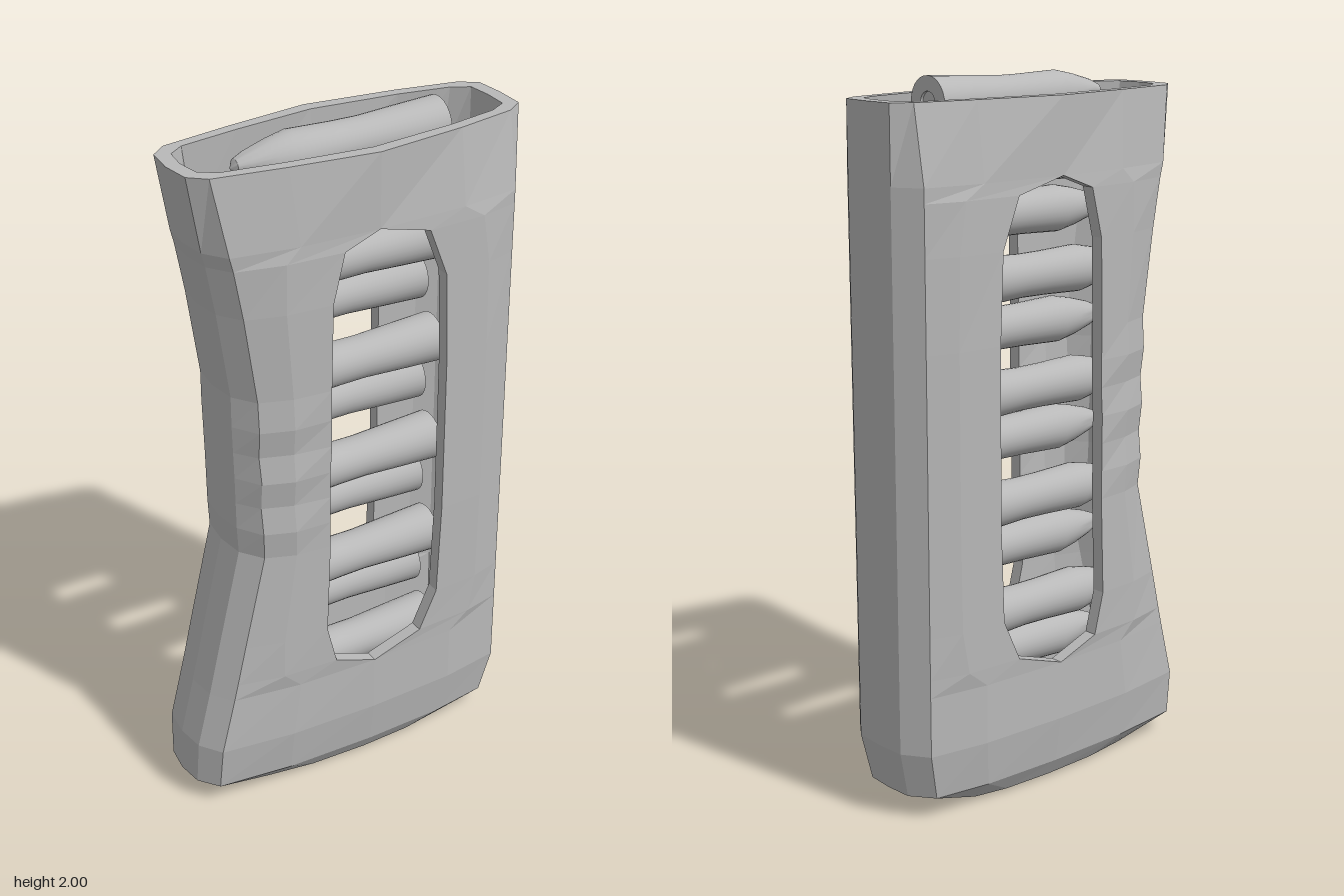
import * as THREE from 'three';
import { toCreasedNormals } from 'three/addons/utils/BufferGeometryUtils.js';

// Height, left side, right side, window left, window right, depth scale
const C = 0.02; // the window closes to a point here
const ROWS = [
  [0.01, -0.35, 0.33, C, C, 0.72],
  [0.065, -0.525, 0.49, C, C, 0.9],
  [0.2, -0.52, 0.52, C, C, 1],
  [0.37, -0.477, 0.52, C, C, 1],
  [0.42, -0.465, 0.52, -0.11, 0.175, 1],
  [0.54, -0.437, 0.52, -0.14, 0.23, 1],
  [0.82, -0.37, 0.52, -0.13, 0.24, 1],
  [0.9, -0.374, 0.52, -0.13, 0.24, 1],
  [0.98, -0.375, 0.52, -0.13, 0.24, 1],
  [1.06, -0.376, 0.52, -0.13, 0.24, 1],
  [1.14, -0.378, 0.52, -0.125, 0.24, 1],
  [1.22, -0.38, 0.52, -0.125, 0.24, 1],
  [1.31, -0.38, 0.52, -0.125, 0.24, 1],
  [1.56, -0.415, 0.52, -0.12, 0.23, 1],
  [1.7, -0.44, 0.52, -0.085, 0.175, 1],
  [1.74, -0.45, 0.52, C, C, 1],
  [1.95, -0.485, 0.52, C, C, 1],
];
const FIRST = 3, LAST = 15; // rows between which the window is open
const N = 18;               // points around the shell

// One closed cross-section, running left to right along the front and back again
function ring(i, inner) {
  const [y, xl, xr, wl, wr, s] = ROWS[i];
  const top = i === ROWS.length - 1;
  const grip = i > 6 && i < 12 ? (i % 2 ? 0.006 : -0.004) : 0; // shallow finger ridges
  const t = inner ? 0.04 : 0, k = inner ? 0.8 : 1;
  const la = xl + 0.055, ra = xr - 0.055;
  const half = [
    [xl + t, 0],
    [xl + 0.01 + t, 0.085],
    [la + t, (top ? 0.125 : 0.15) + grip],
    [la + (wl - la) * 0.45 + t * 0.3, (top ? 0.16 : 0.182) + grip],
    [wl, 0.193],
    [wr, 0.193],
    [ra + (wr - ra) * 0.4 - t * 0.3, top ? 0.16 : 0.187],
    [ra - t, top ? 0.125 : 0.162],
    [xr - 0.005 - t, 0.09],
    [xr - t, 0],
  ];
  const h = inner && i < 2 ? y + 0.05 : y;
  const front = half.map(([x, z]) => [x, h, z * s * k]);
  const back = half.slice(1, -1).reverse().map(([x, z]) => [x, h, -z * s * k]);
  return [...front, ...back];
}

function shellGeometry() {
  const outer = ROWS.map((_, i) => ring(i, false));
  const inner = ROWS.map((_, i) => ring(i, true));
  const pos = [];
  const tri = (a, b, c) => {
    const [A, B, D] = [a, b, c].map((p) => new THREE.Vector3(...p));
    if (B.sub(A).cross(D.sub(A)).length() > 1e-8) pos.push(...a, ...b, ...c);
  };
  const quad = (a, b, c, d) => { tri(a, b, c); tri(a, c, d); };
  const last = ROWS.length - 1;

  for (let j = 0; j < N; j++) {
    const n = (j + 1) % N;
    const isWindow = j === 4 || j === 13;
    for (let i = 0; i < last; i++) {
      const o = outer[i], p = outer[i + 1], q = inner[i], r = inner[i + 1];
      if (isWindow && i >= FIRST && i < LAST) {
        // thickness of the window edge
        quad(o[j], q[j], r[j], p[j]);
        quad(q[n], o[n], p[n], r[n]);
      } else {
        quad(o[j], o[n], p[n], p[j]);
        quad(q[n], q[j], r[j], r[n]);
      }
    }
    // top lip, underside and inner floor
    quad(outer[last][j], outer[last][n], inner[last][n], inner[last][j]);
    tri(outer[0][n], outer[0][j], [0, 0, 0]);
    tri(inner[0][j], inner[0][n], [0, 0.06, 0]);
  }
  const g = new THREE.BufferGeometry();
  g.setAttribute('position', new THREE.Float32BufferAttribute(pos, 3));
  g.computeVertexNormals();
  return g;
}

// Waisted round with a recessed base disc and a blunt pointed nose, lying along x
function roundGeometry() {
  const profile = [
    [0, -0.277], [0.03, -0.277], [0.03, -0.285], [0.071, -0.285],
    [0.066, -0.17], [0.06, -0.05], [0.061, 0.03], [0.066, 0.16],
    [0.054, 0.22], [0.036, 0.285], [0.022, 0.318], [0, 0.332],
  ].map(([r, y]) => new THREE.Vector2(r, y));
  const g = new THREE.LatheGeometry(profile, 28);
  g.rotateZ(Math.PI / 2);
  return toCreasedNormals(g, 0.6);
}

export function createModel() {
  const model = new THREE.Group();
  model.name = 'windowedMagazine';
  const grey = new THREE.MeshStandardMaterial({ color: 0xb8b8b8, flatShading: true });
  grey.name = 'grey';
  // same colour, smooth for the turned parts
  const smoothGrey = new THREE.MeshStandardMaterial({ color: 0xb8b8b8 });
  smoothGrey.name = 'smoothGrey';

  const shell = new THREE.Mesh(shellGeometry(), grey);
  shell.name = 'shell';
  model.add(shell);

  // Staggered stack of rounds, alternating front and back
  const stack = new THREE.Group();
  stack.name = 'roundStack';
  const geometry = roundGeometry();
  for (let i = 0; i < 11; i++) {
    const item = new THREE.Mesh(geometry, smoothGrey);
    item.name = 'round' + (i + 1);
    item.position.set(0, 1.929 - i * 0.158, i % 2 ? -0.042 : 0.046);
    stack.add(item);
  }
  model.add(stack);
  return model;
}
